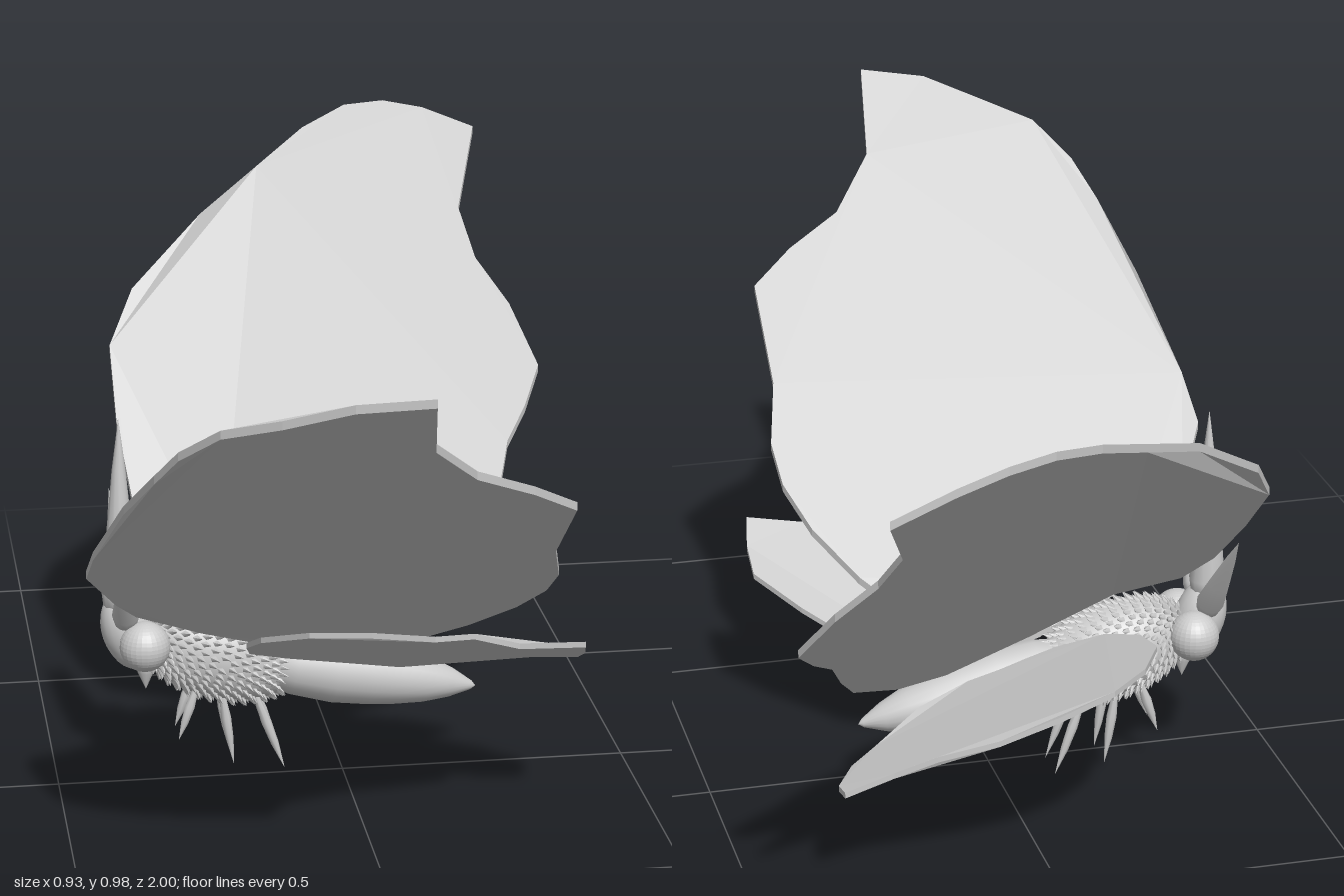
import * as THREE from 'three';
import { mergeGeometries } from 'three/addons/utils/BufferGeometryUtils.js';

const MID = -0.05; // z of the body's middle plane
const V = (x, y, z) => new THREE.Vector3(x, y, z);
const UP = V(0, 1, 0);

export function createModel() {
  const model = new THREE.Group();
  const grey = new THREE.MeshStandardMaterial({ color: 0xcccccc, side: THREE.DoubleSide });

  function add(name, geometry, parent = model) {
    const mesh = new THREE.Mesh(geometry, grey);
    mesh.name = name;
    parent.add(mesh);
    return mesh;
  }

  // Thin plate: plan outline as [x, z] pairs, lifted by a height rule
  function wing(name, outline, height, thickness = 0.014) {
    const shape = new THREE.Shape(outline.map(([x, z]) => new THREE.Vector2(x, -z)));
    const geo = new THREE.ExtrudeGeometry(shape, { depth: thickness, bevelEnabled: false });
    geo.rotateX(-Math.PI / 2);
    const p = geo.attributes.position;
    for (let i = 0; i < p.count; i++) {
      p.setY(i, p.getY(i) - thickness / 2 + height(p.getX(i), p.getZ(i)));
    }
    geo.computeVertexNormals();
    add(name, geo);
  }

  // Lathe spindle running from one point to another; profile is [radius, fraction]
  function spindle(from, to, profile, segments = 12) {
    const dir = to.clone().sub(from);
    const length = dir.length();
    const geo = new THREE.LatheGeometry(profile.map(([r, t]) => new THREE.Vector2(r, t * length)), segments);
    geo.applyQuaternion(new THREE.Quaternion().setFromUnitVectors(UP, dir.normalize()));
    return geo.translate(from.x, from.y, from.z);
  }

  // Forewings, the left one slightly pleated along its leading edge
  wing('leftForewing', [
    [0.02, -0.01], [-0.12, 0], [-0.25, 0.04], [-0.37, 0.12], [-0.41, 0.19], [-0.465, 0.28],
    [-0.46, 0.37], [-0.425, 0.55], [-0.39, 0.7], [-0.36, 0.77], [-0.305, 0.85], [-0.22, 0.91],
    [-0.12, 0.965], [-0.005, 0.995], [0.02, 0.84], [0.1, 0.745], [0.2, 0.695], [0.278, 0.64],
    [0.28, 0.47], [0.306, 0.37], [0.3, 0.3], [0.265, 0.22], [0.2, 0.13], [0.11, 0.04],
  ], (x, z) => 0.235 + 0.747 * z - 0.083 * x + (x < -0.2 ? 0.006 * Math.sin(25 * z) : 0));

  wing('rightForewing', [
    [0.4, -1], [0.3, -1], [0.22, -0.985], [0.14, -0.95], [0.05, -0.88], [-0.05, -0.78],
    [-0.17, -0.66], [-0.31, -0.53], [-0.36, -0.44], [-0.36, -0.32], [-0.345, -0.2], [-0.31, -0.13],
    [-0.2, -0.09], [-0.05, -0.085], [0.1, -0.1], [0.2, -0.16], [0.3, -0.27], [0.34, -0.36],
    [0.375, -0.46], [0.42, -0.53], [0.46, -0.61], [0.42, -0.7], [0.365, -0.76], [0.345, -0.84],
  ], (x, z) => 0.185 - 0.886 * z - 0.41 * x - 0.4 * Math.max(0, -0.2 - x));

  // Hindwings, pleated toward the tail
  const pleat = (x) => (x > 0.08 ? 0.006 * Math.sin(45 * x) : 0);
  wing('leftHindwing', [
    [-0.1, 0.02], [-0.17, 0.06], [-0.185, 0.14], [-0.17, 0.22], [-0.1, 0.31], [0, 0.345],
    [0.1, 0.375], [0.17, 0.35], [0.25, 0.335], [0.355, 0.365], [0.366, 0.31], [0.366, 0.25],
    [0.3, 0.155], [0.2, 0.05], [0.1, 0.01], [0, 0.0],
  ], (x, z) => 0.197 + 0.5 * z - 0.1 * (x - 0.1) + pleat(x), 0.01);

  wing('rightHindwing', [
    [-0.1, -0.08], [-0.18, -0.11], [-0.22, -0.19], [-0.22, -0.29], [-0.17, -0.39], [-0.1, -0.45],
    [0, -0.48], [0.1, -0.47], [0.2, -0.455], [0.27, -0.44], [0.355, -0.45], [0.355, -0.4],
    [0.32, -0.34], [0.26, -0.25], [0.16, -0.15], [0.06, -0.09],
  ], (x, z) => 0.196 - 0.23 * z - 0.28 * x + pleat(x), 0.01);

  // Abdomen
  add('abdomen', spindle(V(-0.16, 0.205, MID), V(0.245, 0.126, MID), [
    [0, 0], [0.045, 0.06], [0.058, 0.2], [0.063, 0.38], [0.058, 0.54], [0.051, 0.66], [0.041, 0.78],
    [0.026, 0.89], [0.008, 0.98], [0, 1],
  ], 20));

  // Thorax: tilted ellipsoid covered in rings of small overlapping pointed scales
  const thorax = new THREE.Group();
  thorax.name = 'thorax';
  thorax.position.set(-0.21, 0.217, MID);
  thorax.rotation.z = -0.3;
  model.add(thorax);
  const radii = V(0.145, 0.084, 0.074);
  add('thoraxCore', new THREE.SphereGeometry(1, 24, 16), thorax).scale.copy(radii);
  const scales = [];
  const rings = 22;
  for (let ring = 1; ring < rings; ring++) {
    const a = (ring / rings) * Math.PI;
    const count = Math.max(6, Math.round(44 * Math.sin(a)));
    for (let i = 0; i < count; i++) {
      const b = ((i + (ring % 2) / 2) / count) * Math.PI * 2;
      const n = V(Math.sin(a) * Math.cos(b), Math.sin(a) * Math.sin(b), Math.cos(a));
      const at = n.clone().multiply(radii);
      const dir = n.clone().divide(radii).normalize().add(V(0.7, 0, 0)).normalize();
      const cone = new THREE.ConeGeometry(0.01, 0.026, 5);
      cone.applyQuaternion(new THREE.Quaternion().setFromUnitVectors(UP, dir));
      scales.push(cone.translate(at.x, at.y, at.z));
    }
  }
  add('thoraxScales', mergeGeometries(scales), thorax);

  // Head, crest and mouth
  const head = add('head', new THREE.SphereGeometry(1, 20, 14));
  head.position.set(-0.37, 0.262, MID);
  head.scale.set(0.045, 0.072, 0.045);
  head.rotation.z = 0.3;
  const horn = [[0, 0], [0.028, 0.06], [0.032, 0.15], [0.024, 0.4], [0.012, 0.75], [0, 1]];
  add('crest', spindle(V(-0.383, 0.28, MID), V(-0.38, 0.65, MID), horn));
  add('mouth', spindle(V(-0.34, 0.23, MID), V(-0.34, 0.152, MID), [[0, 0], [0.018, 0.3], [0.014, 0.6], [0, 1]]));

  // Mirrored faceted eyes, antennae and legs
  const eyeGeometry = new THREE.SphereGeometry(0.044, 28, 20).toNonIndexed();
  eyeGeometry.computeVertexNormals();
  const legs = [
    [-0.255, 0.16, -0.287, 0.065],
    [-0.21, 0.15, -0.19, 0.015],
    [-0.15, 0.14, -0.1, 0.002],
  ];
  for (const [side, s] of [['left', 1], ['right', -1]]) {
    add(side + 'Eye', eyeGeometry).position.set(-0.345, 0.25, MID + s * 0.05);
    add(side + 'Antenna', spindle(V(-0.375, 0.28, MID + s * 0.02), V(-0.385, 0.47, MID + s * 0.165),
      horn.map(([r, t]) => [r * 0.75, t])));
    legs.forEach(([x0, y0, x1, y1], i) => {
      add(`${side}Leg${i + 1}`, spindle(V(x0, y0, MID + s * 0.03), V(x1, y1, MID + s * 0.033),
        [[0.005, 0], [0.009, 0.35], [0.007, 0.65], [0, 1]], 8));
    });
  }
  return model;
}
